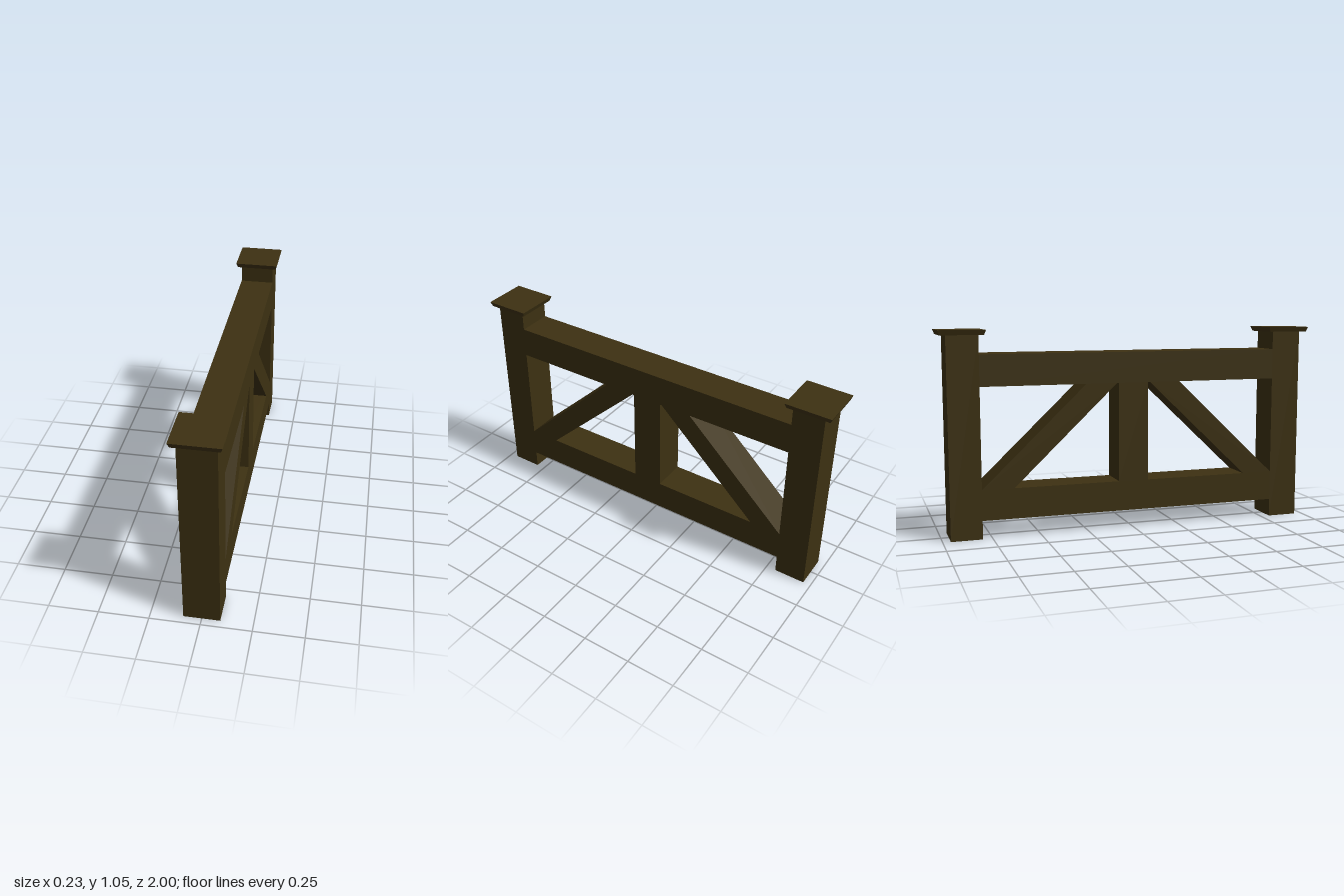
import * as THREE from 'three';

export function createModel() {
  const group = new THREE.Group();
  const wood = new THREE.MeshStandardMaterial({ color: 0x3d3112 });
  wood.name = 'darkWood';
  const depth = 0.18;

  const add = (name, geometry) => {
    const mesh = new THREE.Mesh(geometry, wood);
    mesh.name = name;
    group.add(mesh);
    return mesh;
  };
  const beam = (name, y0, y1, z0, z1) => {
    const mesh = add(name, new THREE.BoxGeometry(depth, y1 - y0, z1 - z0));
    mesh.position.set(0, (y0 + y1) / 2, (z0 + z1) / 2);
  };

  // Rails and middle upright
  beam('topRail', 0.77, 0.93, -0.8, 0.8);
  beam('bottomRail', 0.095, 0.252, -0.8, 0.8);
  beam('middleUpright', 0.252, 0.77, -0.08, 0.08);

  // Slanted brace outline, drawn along the fence
  const braceShape = new THREE.Shape([
    new THREE.Vector2(0.8, 0.252),
    new THREE.Vector2(0.255, 0.77),
    new THREE.Vector2(0.09, 0.77),
    new THREE.Vector2(0.635, 0.252),
  ]);
  const braceGeometry = new THREE.ExtrudeGeometry(braceShape, { depth, bevelEnabled: false });
  braceGeometry.translate(0, 0, -depth / 2);

  // Square cap flaring outward to the top
  const capGeometry = new THREE.CylinderGeometry(0.117 * Math.SQRT2, 0.108 * Math.SQRT2, 0.025, 4).toNonIndexed();
  capGeometry.computeVertexNormals();
  capGeometry.rotateY(Math.PI / 4);

  // Post, cap and brace at each end
  for (const [end, s] of [['front', 1], ['back', -1]]) {
    beam(end + 'Post', 0, 1.025, s > 0 ? 0.8 : -0.96, s > 0 ? 0.96 : -0.8);
    add(end + 'PostCap', capGeometry).position.set(0, 1.0375, s * 0.883);
    add(end + 'Brace', braceGeometry).rotation.y = -s * Math.PI / 2;
  }
  return group;
}
